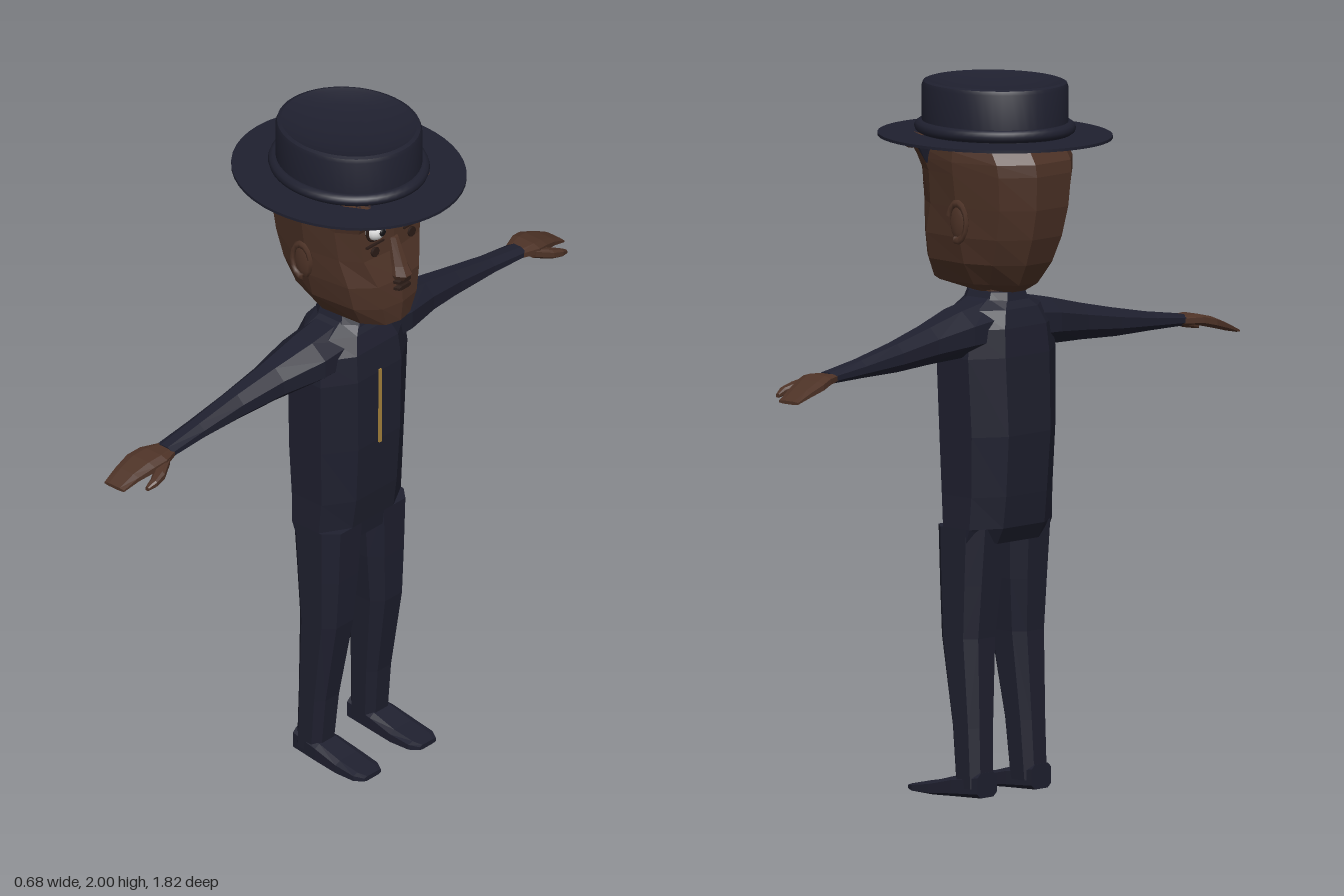
import * as THREE from 'three';
import { toCreasedNormals } from 'three/addons/utils/BufferGeometryUtils.js';

const mat = (name, color) => { const m = new THREE.MeshStandardMaterial({ color }); m.name = name; return m; };

// Flat-shaded skin over a list of rings (each an array of [x, y, z]), closed at both ends
function loft(rings) {
  const tris = [];
  const mid = r => [0, 1, 2].map(k => r.reduce((s, p) => s + p[k], 0) / r.length);
  const n = rings[0].length;
  for (let j = 0; j < rings.length - 1; j++) {
    const a = rings[j], b = rings[j + 1];
    for (let i = 0; i < n; i++) {
      const k = (i + 1) % n;
      tris.push([a[i], a[k], b[k]], [a[i], b[k], b[i]]);
    }
  }
  const first = rings[0], last = rings[rings.length - 1], c0 = mid(first), c1 = mid(last);
  for (let i = 0; i < n; i++) {
    const k = (i + 1) % n;
    tris.push([c0, first[k], first[i]], [c1, last[i], last[k]]);
  }
  // Signed volume decides the winding, so mirrored parts also face outwards
  const o = new THREE.Vector3(...c0), v = p => new THREE.Vector3(...p).sub(o);
  const volume = tris.reduce((s, [a, b, c]) => s + v(a).dot(v(b).cross(v(c))), 0);
  const flat = tris.flatMap(t => (volume < 0 ? [t[0], t[2], t[1]] : t)).flat();
  const g = new THREE.BufferGeometry();
  g.setAttribute('position', new THREE.Float32BufferAttribute(flat, 3));
  g.computeVertexNormals();
  return g;
}

// Bevelled rectangle outline between two corners, k = share of each half side kept straight
function oct(u0, u1, v0, v1, k = 0.55) {
  const cu = (u0 + u1) / 2, cv = (v0 + v1) / 2, hu = (u1 - u0) / 2, hv = (v1 - v0) / 2;
  return [[1, k], [k, 1], [-k, 1], [-1, k], [-1, -k], [-k, -1], [k, -1], [1, -k]]
    .map(([a, b]) => [cu + a * hu, cv + b * hv]);
}
// Rows: [y, x0, x1, z0, z1], [z, x0, x1, y0, y1] or [x, y0, y1, z0, z1]
const loftY = (rows, k) => loft(rows.map(([y, ...r]) => oct(...r, k).map(([x, z]) => [x, y, z])));
const loftZ = (rows, s, k) => loft(rows.map(([z, ...r]) => oct(...r, k).map(([x, y]) => [x, y, z * s])));
const loftX = (rows, k) => loft(rows.map(([x, ...r]) => oct(...r, k).map(([y, z]) => [x, y, z])));

// Head outline: back, front, half width and half width of the face plane
function headRing([y, xb, xf, w, wf]) {
  const half = [[xf - 0.012, wf], [xf - 0.07, w * 0.9], [-0.01, w], [xb + 0.07, w * 0.82], [xb, w * 0.38]];
  const pts = [[xf, 0], ...half, ...half.slice().reverse().map(([x, z]) => [x, -z])];
  return pts.map(([x, z]) => [x, y, z]);
}

export function createModel() {
  const cloth = mat('dark navy cloth', 0x1f202f);
  const skin = mat('brown skin', 0x4e3327);
  const dark = mat('dark brown', 0x2b1c17);
  const white = mat('eye white', 0xe6e6e6);
  const black = mat('black', 0x121214);
  const gold = mat('gold', 0xa8843c);
  const model = new THREE.Group();
  const add = (name, geometry, material, x = 0, y = 0, z = 0) => {
    const m = new THREE.Mesh(geometry, material);
    m.name = name;
    m.position.set(x, y, z);
    model.add(m);
    return m;
  };

  // Suit body and collar
  add('torso', loftY([
    [0.715, -0.085, 0.085, -0.168, 0.168], [0.76, -0.108, 0.09, -0.17, 0.17],
    [0.85, -0.118, 0.103, -0.167, 0.167], [1.02, -0.13, 0.113, -0.172, 0.172],
    [1.24, -0.122, 0.115, -0.18, 0.18], [1.32, -0.115, 0.107, -0.17, 0.17],
    [1.37, -0.1, 0.09, -0.13, 0.13], [1.398, -0.08, 0.072, -0.075, 0.075]], 0.5), cloth);
  add('collar', loftY([[1.37, -0.09, 0.085, -0.085, 0.085], [1.415, -0.08, 0.07, -0.068, 0.068]]), cloth);
  add('zip', new THREE.BoxGeometry(0.008, 0.235, 0.009), gold, 0.115, 1.13, 0);

  // Head, neck and hair
  add('neck', loftY([[1.38, -0.065, 0.055, -0.055, 0.055], [1.46, -0.065, 0.07, -0.06, 0.06]]), skin);
  const headRows = [
    [1.415, -0.09, 0.09, 0.065, 0.035], [1.438, -0.125, 0.195, 0.1, 0.05],
    [1.5, -0.165, 0.202, 0.14, 0.07], [1.575, -0.195, 0.198, 0.16, 0.085],
    [1.66, -0.215, 0.172, 0.172, 0.115], [1.755, -0.222, 0.167, 0.186, 0.13],
    [1.79, -0.218, 0.182, 0.19, 0.135], [1.82, -0.2, 0.205, 0.188, 0.135], [1.85, -0.18, 0.2, 0.18, 0.13]];
  add('head', loft(headRows.map(headRing)), skin);
  add('hair', loft([[1.826, -0.202, 0.2, 0.191, 0.13], [1.85, -0.19, 0.2, 0.187, 0.13]].map(headRing)), cloth);
  add('nose', loftY([
    [1.575, 0.15, 0.212, -0.024, 0.024], [1.593, 0.15, 0.226, -0.03, 0.03],
    [1.62, 0.15, 0.212, -0.024, 0.024], [1.7, 0.14, 0.18, -0.014, 0.014]], 0.4), skin);
  for (const y of [1.572, 1.552])
    add('lip', loftX([[0.18, y - 0.009, y + 0.009, -0.036, 0.036], [0.211, y - 0.006, y + 0.006, -0.024, 0.024]]), dark);

  // Hat: stretched front to back, with a dished top
  const stretch = 1.11;
  const lathe = pts => toCreasedNormals(
    new THREE.LatheGeometry(pts.map(p => new THREE.Vector2(...p)), 48).scale(stretch, 1, 1), 0.7);
  add('hatCrown', lathe([[0.192, 1.845], [0.192, 1.985], [0.188, 1.996], [0.178, 2.0],
    [0.166, 1.995], [0.12, 1.982], [0.06, 1.974], [0, 1.972]]), cloth);
  add('hatBand', new THREE.TorusGeometry(0.194, 0.018, 10, 48).rotateX(Math.PI / 2).scale(stretch, 1, 1), cloth, 0, 1.87, 0);
  add('hatBrim', new THREE.CylinderGeometry(0.308, 0.308, 0.008, 48).scale(stretch, 1, 1), cloth, 0, 1.846, 0);

  for (const s of [1, -1]) {
    const side = s > 0 ? 'right' : 'left';

    // Eyes, lids, brows and cheek marks
    add(side + 'Eye', new THREE.SphereGeometry(0.033, 20, 14), white, 0.164, 1.755, 0.076 * s);
    add(side + 'Pupil', new THREE.SphereGeometry(0.012, 12, 8).scale(0.5, 1, 1), black, 0.195, 1.755, 0.076 * s);
    add(side + 'EyeRim', new THREE.TorusGeometry(0.034, 0.005, 6, 18).rotateY(Math.PI / 2), dark, 0.168, 1.755, 0.076 * s);
    add(side + 'LowerLid', new THREE.BoxGeometry(0.008, 0.005, 0.07), dark, 0.166, 1.705, 0.076 * s);
    add(side + 'CheekMark', new THREE.CylinderGeometry(0.015, 0.015, 0.008, 8).rotateZ(Math.PI / 2), dark, 0.166, 1.68, 0.075 * s);
    add(side + 'Brow', new THREE.BoxGeometry(0.02, 0.02, 0.1), dark, 0.2, 1.82, 0.085 * s).rotation.x = 0.12 * s;
    add(side + 'Sideburn', loftY([[1.775, 0.098, 0.102, 0.168 * s, 0.172 * s],
      [1.84, 0.065, 0.15, 0.16 * s, 0.182 * s]]), cloth);

    // Ear with a raised rim
    add(side + 'Ear', new THREE.SphereGeometry(1, 8, 6).scale(0.034, 0.055, 0.012), skin, -0.018, 1.62, 0.167 * s);
    add(side + 'EarRim', new THREE.TorusGeometry(0.036, 0.008, 5, 10, 4.7).rotateZ(0.3).scale(0.95, 1.45, 1),
      skin, -0.018, 1.622, 0.176 * s);

    // Sleeve and hand
    add(side + 'Arm', loftZ([
      [0.06, -0.09, 0.08, 1.24, 1.395], [0.18, -0.088, 0.075, 1.243, 1.374],
      [0.31, -0.072, 0.038, 1.24, 1.343], [0.45, -0.067, 0.014, 1.234, 1.313],
      [0.6, -0.064, 0.004, 1.234, 1.284], [0.73, -0.062, 0.002, 1.232, 1.264]], s, 0.4), cloth);
    add(side + 'Hand', loftZ([
      [0.7, -0.055, -0.005, 1.236, 1.26], [0.77, -0.085, 0.018, 1.232, 1.262],
      [0.81, -0.096, 0.008, 1.222, 1.252], [0.86, -0.094, -0.008, 1.21, 1.232],
      [0.91, -0.09, -0.018, 1.197, 1.206]], s), skin);
    add(side + 'Thumb', loftZ([
      [0.755, -0.02, 0.014, 1.226, 1.256], [0.805, 0.0, 0.04, 1.212, 1.24],
      [0.84, 0.018, 0.043, 1.206, 1.228], [0.865, 0.022, 0.034, 1.202, 1.214]], s), skin);

    // Trouser leg and shoe; z bounds mirror with the side
    const z = rows => rows.map(([a, b, c, z0, z1]) => [a, b, c, z0 * s, z1 * s]);
    add(side + 'Leg', loftY(z([
      [0.03, -0.07, 0.02, 0.066, 0.157], [0.2, -0.065, 0.035, 0.057, 0.158],
      [0.45, -0.06, 0.076, 0.037, 0.164], [0.6, -0.072, 0.084, 0.022, 0.167],
      [0.76, -0.085, 0.09, 0.01, 0.17]])), cloth);
    add(side + 'Shoe', loftX(z([
      [-0.072, 0.005, 0.075, 0.072, 0.152], [0.02, 0.003, 0.06, 0.064, 0.162],
      [0.1, 0.0, 0.038, 0.06, 0.166], [0.165, 0.002, 0.026, 0.064, 0.164],
      [0.192, 0.006, 0.02, 0.08, 0.148]]), 0.65), cloth);
  }
  return model;
}
